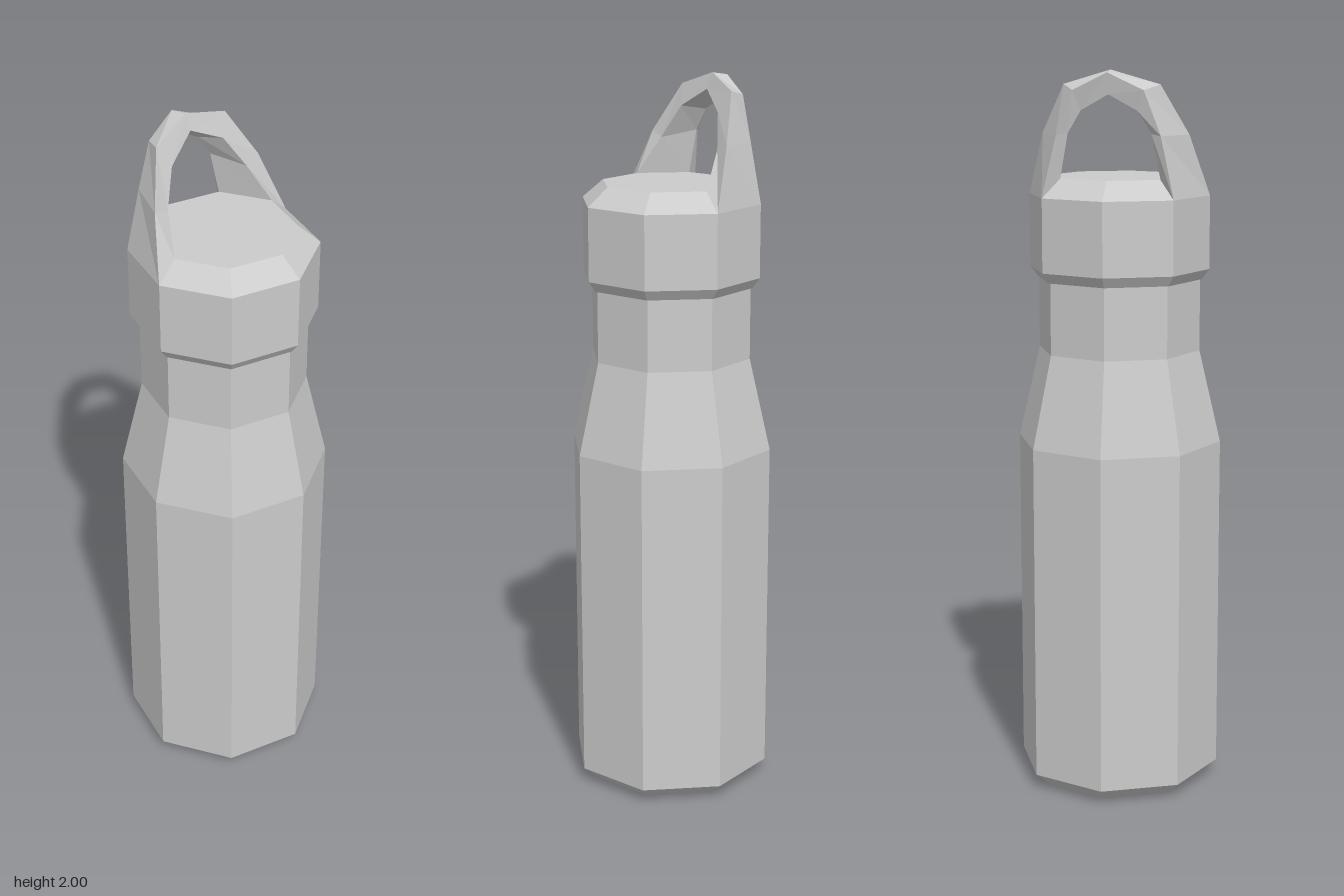
import * as THREE from 'three';

const material = new THREE.MeshStandardMaterial({ color: 0xcccccc, flatShading: true });

// Eight-sided turned part from [radius, height] pairs, bottom to top
function turned(name, profile) {
  const points = profile.map(([r, y]) => new THREE.Vector2(r, y));
  const mesh = new THREE.Mesh(new THREE.LatheGeometry(points, 8), material);
  mesh.name = name;
  return mesh;
}

// Skin a row of four-cornered cross-sections with flat quads
function loft(name, sections) {
  const positions = [];
  for (let i = 0; i < sections.length - 1; i++) {
    for (let j = 0; j < 4; j++) {
      const k = (j + 1) % 4;
      const a = sections[i][j], b = sections[i + 1][j];
      const c = sections[i + 1][k], d = sections[i][k];
      positions.push(...a, ...b, ...c, ...a, ...c, ...d);
    }
  }
  const geometry = new THREE.BufferGeometry();
  geometry.setAttribute('position', new THREE.Float32BufferAttribute(positions, 3));
  geometry.computeVertexNormals();
  const mesh = new THREE.Mesh(geometry, material);
  mesh.name = name;
  return mesh;
}

export function createModel() {
  const group = new THREE.Group();
  group.name = 'bottle';

  // Body with chamfered foot, tapered shoulder and straight neck
  group.add(turned('body', [
    [0, 0], [0.235, 0], [0.285, 0.042], [0.285, 0.985], [0.225, 1.24], [0.225, 1.45],
  ]));

  // Screw cap with chamfered rims
  group.add(turned('cap', [
    [0, 1.437], [0.23, 1.437], [0.25, 1.465], [0.25, 1.665], [0.191, 1.715], [0, 1.715],
  ]));

  // Carry loop: left half from cap to apex, then mirrored
  // Corners: outer front, inner front, inner back, outer back
  const half = [
    [[0.25, 1.665, 0], [0.191, 1.715, 0], [0.135, 1.715, -0.135], [0.177, 1.665, -0.177]],
    [[0.2, 1.83, -0.055], [0.152, 1.815, -0.055], [0.112, 1.835, -0.145], [0.14, 1.83, -0.165]],
    [[0.13, 1.962, -0.11], [0.098, 1.905, -0.088], [0.075, 1.895, -0.153], [0.095, 1.948, -0.167]],
    [[0, 2, -0.128], [0, 1.957, -0.112], [0, 1.937, -0.163], [0, 1.993, -0.175]],
  ];
  const mirrored = half.slice(0, 3).reverse()
    .map((section) => section.map(([x, y, z]) => [-x, y, z]));
  group.add(loft('carryLoop', [...half, ...mirrored]));

  return group;
}
